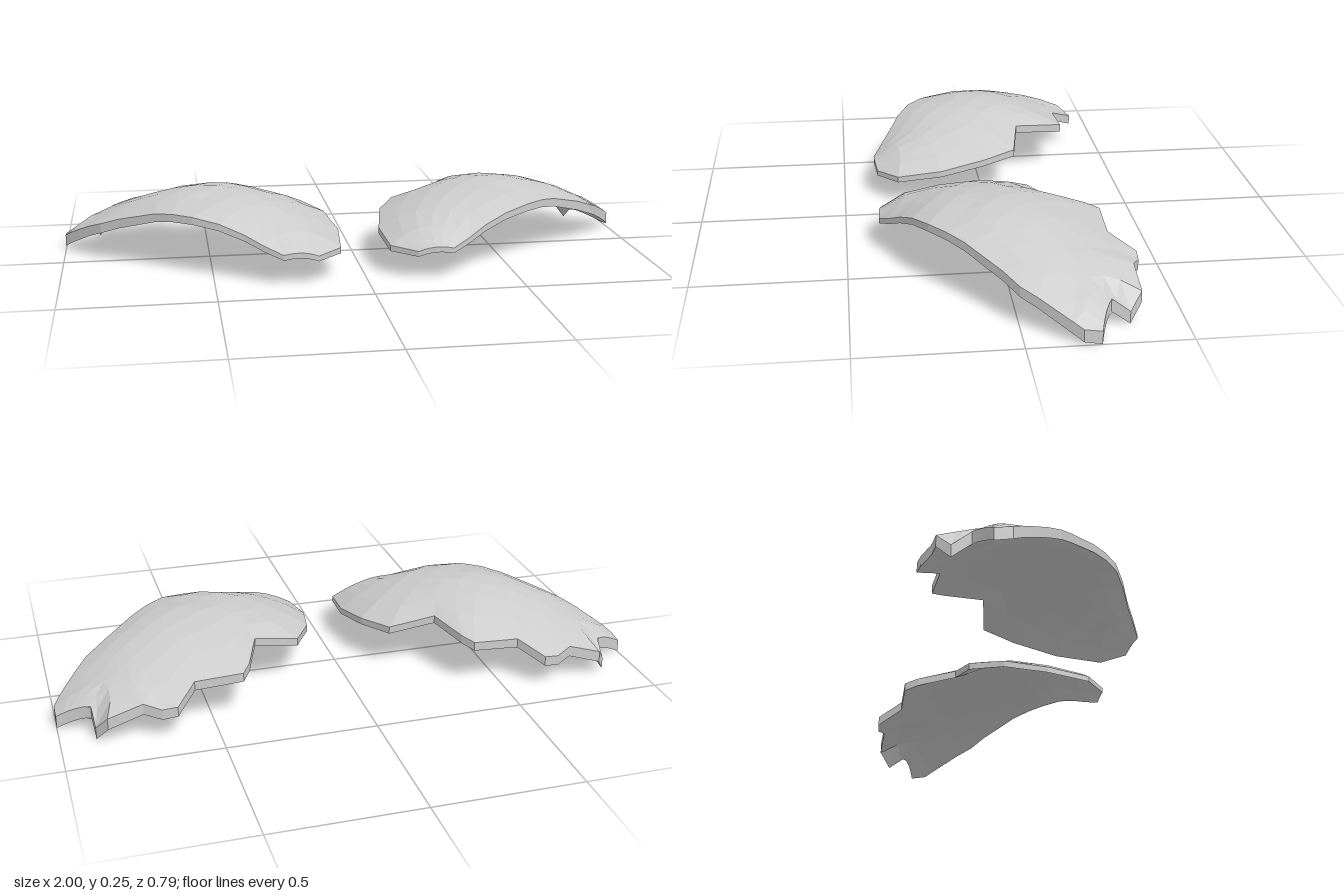
import * as THREE from 'three';

// Cross-sections from inner tip to outer tip: leading edge, crown, trailing edge (x, y, z each)
const SECTIONS = [
  [0.28, 0.11, 0.39, 0.22, 0.115, 0.388, 0.165, 0.10, 0.38],
  [0.34, 0.135, 0.36, 0.22, 0.165, 0.30, 0.083, 0.105, 0.31],
  [0.40, 0.165, 0.326, 0.25, 0.198, 0.21, 0.07, 0.125, 0.155],
  [0.48, 0.195, 0.29, 0.31, 0.228, 0.14, 0.10, 0.15, 0.0],
  [0.565, 0.21, 0.246, 0.36, 0.242, 0.08, 0.165, 0.16, -0.117],
  [0.63, 0.21, 0.195, 0.42, 0.252, 0.03, 0.32, 0.195, -0.145],
  [0.69, 0.20, 0.144, 0.47, 0.256, 0.0, 0.37, 0.175, -0.28],
  [0.75, 0.18, 0.095, 0.54, 0.25, -0.04, 0.40, 0.165, -0.325],
  [0.81, 0.16, 0.045, 0.62, 0.232, -0.08, 0.56, 0.155, -0.32],
  [0.87, 0.135, 0.0, 0.69, 0.205, -0.13, 0.63, 0.115, -0.40],
  [0.91, 0.115, -0.05, 0.74, 0.185, -0.16, 0.68, 0.11, -0.395],
  [0.95, 0.09, -0.10, 0.79, 0.163, -0.19, 0.735, 0.125, -0.368],
  [0.98, 0.07, -0.14, 0.84, 0.14, -0.21, 0.85, 0.09, -0.37],
  [1.0, 0.053, -0.17, 0.885, 0.118, -0.22, 0.885, 0.042, -0.33],
  [1.0, 0.045, -0.225, 0.94, 0.075, -0.245, 0.89, 0.09, -0.27],
];
const COLS = 6;

// Closed, arched shell; side is +1 or -1 for the mirrored twin
function shellGeometry(side) {
  const rows = SECTIONS.length;
  const top = [], bottom = [];
  SECTIONS.forEach((s, i) => {
    const a = new THREE.Vector3(s[0], s[1], s[2]);
    const m = new THREE.Vector3(s[3], s[4], s[5]);
    const b = new THREE.Vector3(s[6], s[7], s[8]);
    const control = m.multiplyScalar(2).addScaledVector(a, -0.5).addScaledVector(b, -0.5);
    const arc = new THREE.QuadraticBezierCurve3(a, control, b);
    const thickness = 0.018 + 0.024 * i / (rows - 1);
    arc.getPoints(COLS).forEach((p) => {
      top.push(p.x * side, p.y, p.z);
      bottom.push(p.x * side, Math.max(0, p.y - thickness), p.z);
    });
  });

  const index = [];
  const tri = (a, b, c) => (side > 0 ? index.push(a, b, c) : index.push(a, c, b));
  const quad = (a, b, c, d) => { tri(a, b, c); tri(a, c, d); };
  const n = rows * (COLS + 1);
  const at = (i, j) => i * (COLS + 1) + j;

  // Upper and lower skins
  for (let i = 0; i < rows - 1; i++) {
    for (let j = 0; j < COLS; j++) {
      const a = at(i, j), b = at(i + 1, j), c = at(i + 1, j + 1), d = at(i, j + 1);
      quad(a, b, c, d);
      quad(a + n, d + n, c + n, b + n);
    }
  }
  // Rim joining both skins
  const wall = (a, b) => quad(b, a, a + n, b + n);
  for (let i = 0; i < rows - 1; i++) {
    wall(at(i, 0), at(i + 1, 0));
    wall(at(i + 1, COLS), at(i, COLS));
  }
  for (let j = 0; j < COLS; j++) {
    wall(at(0, j + 1), at(0, j));
    wall(at(rows - 1, j), at(rows - 1, j + 1));
  }

  const geometry = new THREE.BufferGeometry();
  geometry.setAttribute('position', new THREE.Float32BufferAttribute([...top, ...bottom], 3));
  geometry.setIndex(index);
  const faceted = geometry.toNonIndexed();
  faceted.computeVertexNormals();
  return faceted;
}

export function createModel() {
  const group = new THREE.Group();
  group.name = 'pairedShells';
  const material = new THREE.MeshStandardMaterial({ color: 0xcccccc, flatShading: true });
  for (const side of [1, -1]) {
    const mesh = new THREE.Mesh(shellGeometry(side), material);
    mesh.name = side > 0 ? 'leftShell' : 'rightShell';
    group.add(mesh);
  }
  return group;
}
